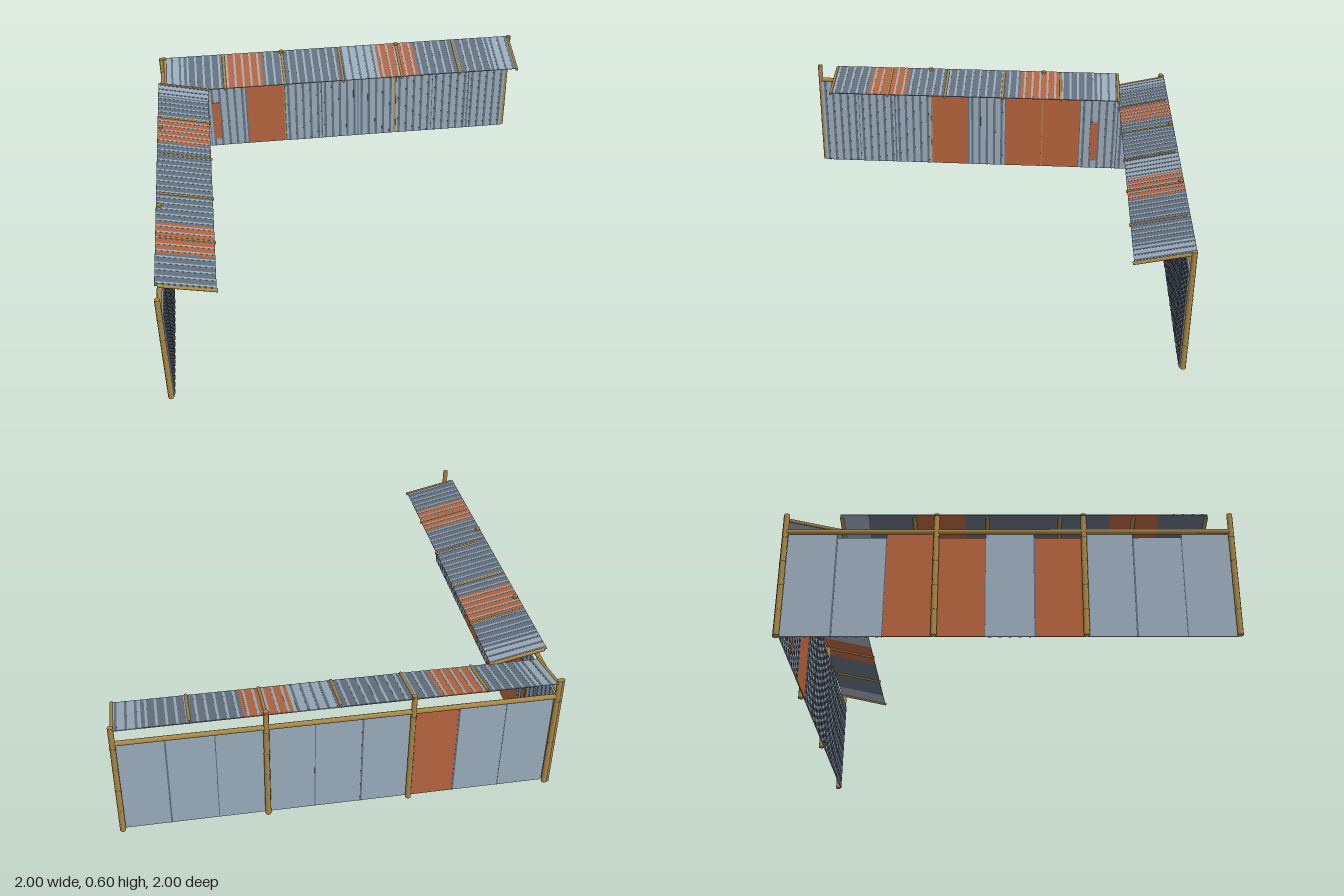
import * as THREE from 'three';

const mat = (name, color) => {
  const m = new THREE.MeshStandardMaterial({ color });
  m.name = name;
  return m;
};

export function createModel() {
  const light = mat('lightSteel', 0x98aab9);
  const dark = mat('darkSteel', 0x626f7d);
  const rust = mat('rust', 0xb4633d);
  const wood = mat('bamboo', 0xa88848);

  const add = (parent, name, geo, material) => {
    const m = new THREE.Mesh(geo, material);
    m.name = name;
    parent.add(m);
    return m;
  };
  const box = (parent, name, material, w, h, d, x, y, z) =>
    add(parent, name, new THREE.BoxGeometry(w, h, d), material).position.set(x, y, z);

  // Round pole between two points
  const pole = (parent, name, a, b, r) => {
    const p = new THREE.Vector3(...a), q = new THREE.Vector3(...b);
    const dir = q.clone().sub(p);
    const m = add(parent, name, new THREE.CylinderGeometry(r * 0.95, r, dir.length(), 8), wood);
    m.position.copy(p).add(q).multiplyScalar(0.5);
    m.quaternion.setFromUnitVectors(new THREE.Vector3(0, 1, 0), dir.normalize());
  };

  const POST_Z = -0.986, WALL_Z = -0.971;

  // One run of fence along x with its lean-to roof, inner side facing +z
  function fenceRun(name, o) {
    const run = new THREE.Group();
    run.name = name;

    // Bamboo posts with nodes
    for (const x of o.posts) {
      pole(run, 'post', [x, 0, POST_Z], [x, 0.6, POST_Z], 0.0135);
      for (let y = 0.12; y < 0.5; y += 0.12)
        pole(run, 'postNode', [x, y, POST_Z], [x, y + 0.006, POST_Z], 0.0145);
    }
    pole(run, 'topRail', [-0.985, 0.511, POST_Z], [0.985, 0.511, POST_Z], 0.012);

    // Wall sheets, three between each pair of posts
    for (let i = 0; i < 9; i++) {
      const [a, b] = o.bays[Math.floor(i / 3)];
      const w = (b - a) / 3, x = a + w * (i % 3 + 0.5);
      const h = i % 2 ? 0.488 : 0.505;
      const rusty = o.rustWall.includes(i);
      box(run, 'wallSheet', rusty ? rust : light, w - 0.002, h, 0.005, x, h / 2, WALL_Z);
      // dark seam where sheets meet
      if (i % 3) box(run, 'sheetSeam', dark, i % 2 ? 0.004 : 0.008, 0.488, 0.007, x - w / 2, 0.244, WALL_Z);
      if (rusty) continue;
      for (let k = 0; k < 5; k++)
        box(run, 'wallRib', dark, 0.013, h, 0.003, x + w * ((k + 0.5) / 5 - 0.5), h / 2, WALL_Z + 0.0025);
    }
    for (const x of o.patches)
      box(run, 'rustPatch', rust, 0.042, 0.247, 0.004, x, 0.173, WALL_Z + 0.006);

    // Roof sheets, high on the outside and falling inward
    const roof = new THREE.Group();
    roof.name = 'roof';
    roof.position.set(0, 0.561, -0.869);
    roof.rotation.x = Math.atan2(0.06, 0.262);
    run.add(roof);
    const depth = 0.268, step = 0.215;
    for (let i = 0; o.roofStart + i * step < o.roofMax; i++) {
      const a = Math.max(o.roofMin, o.roofStart + i * step);
      const b = Math.min(o.roofMax, o.roofStart + (i + 1) * step);
      const rusty = o.rustRoof.includes(i), pale = o.paleRoof.includes(i);
      box(roof, 'roofSheet', rusty ? rust : pale ? light : dark,
        b - a, 0.004, depth, (a + b) / 2, 0, 0);
      for (let k = 0; k < 5; k++) {
        const x = o.roofStart + (i + (k + 0.5) / 5) * step;
        if (x - 0.008 < a || x + 0.008 > b) continue;
        box(roof, 'roofRib', pale ? dark : light, 0.011, 0.002, depth, x, 0.002, 0);
      }
    }

    // Rafters lashed through the sheets, showing above and below
    for (const x of o.rafters)
      pole(run, 'rafter', [x, 0.586, -0.988], [x, 0.528, -0.733], 0.0085);
    return run;
  }

  const model = new THREE.Group();
  model.name = 'corrugatedFence';

  model.add(fenceRun('backRun', {
    posts: [-0.974, -0.32, 0.33, 0.985],
    bays: [[-0.965, -0.318], [-0.312, 0.326], [0.336, 0.98]],
    rustWall: [2], patches: [-0.858, -0.71],
    roofStart: -1.08, roofMin: -0.975, roofMax: 0.985,
    rustRoof: [2, 6], paleRoof: [0, 5, 9],
    rafters: [-0.967, -0.645, -0.318, 0.004, 0.331, 0.655, 0.98],
  }));

  // Side run: local x points toward the back
  const side = fenceRun('sideRun', {
    posts: [-0.985, -0.335, 0.315, 0.982],
    bays: [[-0.98, -0.338], [-0.332, 0.313], [0.317, 0.972]],
    rustWall: [3, 5, 6], patches: [0.62],
    roofStart: -0.885, roofMin: -0.885, roofMax: 0.742,
    rustRoof: [1, 5], paleRoof: [7],
    rafters: [-0.882, -0.558, -0.233, 0.09, 0.415, 0.738],
  });
  side.rotation.y = Math.PI / 2;
  model.add(side);

  return model;
}
